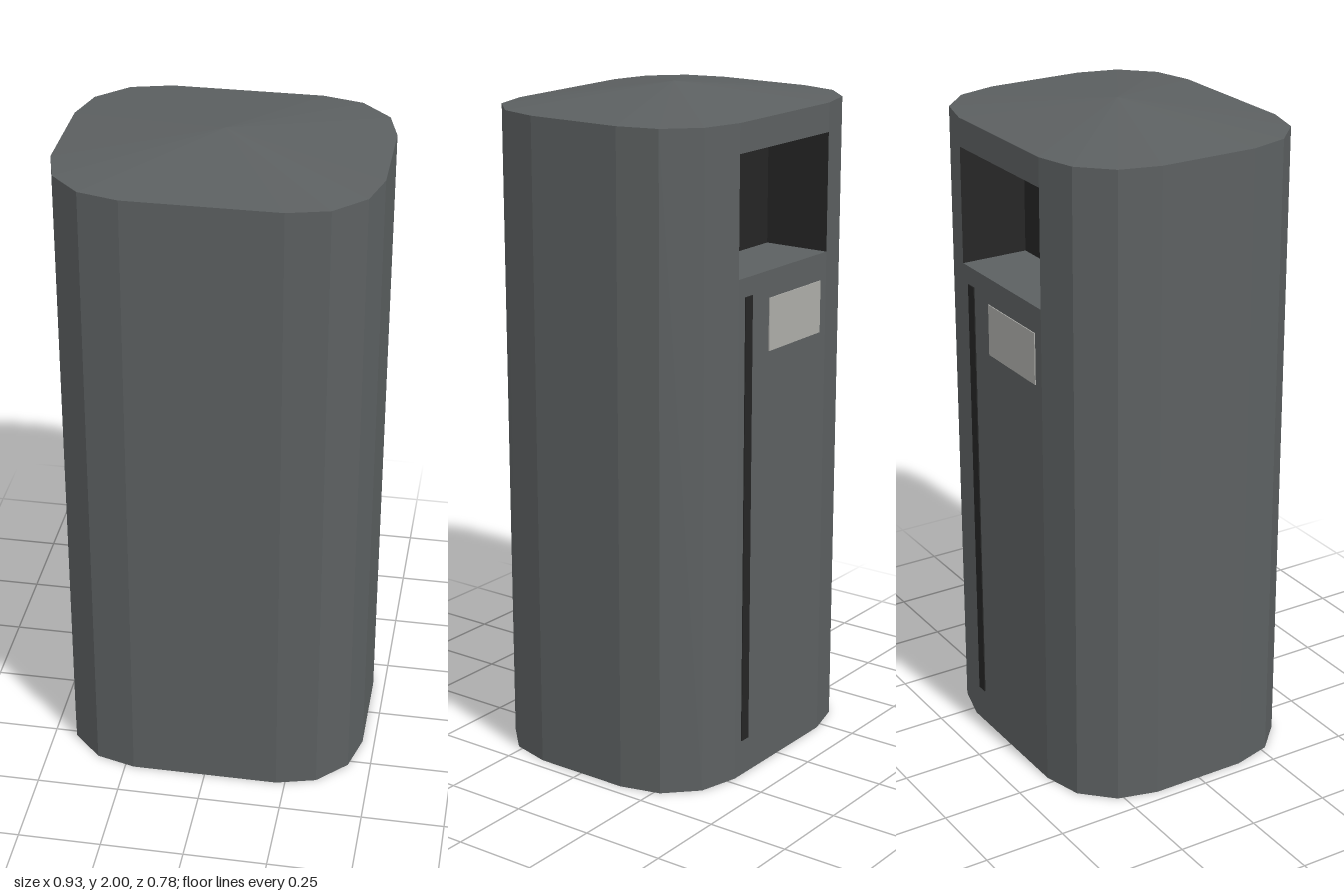
import * as THREE from 'three';

const HX = 0.223, HZ = 0.148, R = 0.24;      // flat half widths and corner radius
const RIM = 1.945, PEAK = 2;                 // wall top and lid apex
const OPEN_LOW = 1.51, OPEN_HIGH = 1.86, OPEN_BACK = -0.18;
const BACK = -(HZ + R);

// Flat-shaded mesh from a list of polygons, each counter-clockwise from its front
function polyMesh(name, polygons, material) {
  const pos = [];
  for (const p of polygons)
    for (let i = 1; i < p.length - 1; i++) pos.push(...p[0], ...p[i], ...p[i + 1]);
  const g = new THREE.BufferGeometry();
  g.setAttribute('position', new THREE.Float32BufferAttribute(pos, 3));
  g.computeVertexNormals();
  const mesh = new THREE.Mesh(g, material);
  mesh.name = name;
  return mesh;
}

// Thin plate on the back face
function backPlate(name, x0, x1, y0, y1, material) {
  const mesh = new THREE.Mesh(new THREE.BoxGeometry(x1 - x0, y1 - y0, 0.006), material);
  mesh.position.set((x0 + x1) / 2, (y0 + y1) / 2, BACK);
  mesh.name = name;
  return mesh;
}

export function createModel() {
  const group = new THREE.Group();
  group.name = 'litterBin';
  const mat = (name, color) =>
    new THREE.MeshStandardMaterial({ name, color, side: THREE.DoubleSide });
  const grey = mat('bodyGrey', 0x5c6061);
  const dark = mat('openingBlack', 0x252525);
  const pale = mat('plateGrey', 0xacaca8);

  // Rounded-rectangle outline, three segments per corner
  const ring = [];
  [[1, 1], [-1, 1], [-1, -1], [1, -1]].forEach(([sx, sz], k) => {
    for (let j = 0; j < 4; j++) {
      const t = (k * 90 + j * 30) * Math.PI / 180;
      ring.push([sx * HX + R * Math.cos(t), sz * HZ + R * Math.sin(t)]);
    }
  });

  // Walls, open underneath, with the back flat split around the opening; lid fan
  const walls = [], lid = [];
  ring.forEach(([ax, az], i) => {
    const [bx, bz] = ring[(i + 1) % ring.length];
    const bands = i === 11 ? [[0, OPEN_LOW], [OPEN_HIGH, RIM]] : [[0, RIM]];
    for (const [y0, y1] of bands)
      walls.push([[ax, y0, az], [ax, y1, az], [bx, y1, bz], [bx, y0, bz]]);
    lid.push([[ax, RIM, az], [0, PEAK, 0], [bx, RIM, bz]]);
  });
  group.add(polyMesh('body', walls, grey), polyMesh('lid', lid, grey));

  // Recess behind the opening
  const c = (sx, y, z) => [sx * HX, y, z];
  const L = OPEN_LOW, H = OPEN_HIGH, F = BACK, B = OPEN_BACK;
  group.add(polyMesh('openingFloor',
    [[c(-1, L, F), c(-1, L, B), c(1, L, B), c(1, L, F)]], grey));
  group.add(polyMesh('openingLining', [
    [c(-1, H, F), c(1, H, F), c(1, H, B), c(-1, H, B)],
    [c(-1, L, B), c(-1, H, B), c(1, H, B), c(1, L, B)],
    [c(1, L, F), c(1, L, B), c(1, H, B), c(1, H, F)],
    [c(-1, L, F), c(-1, H, F), c(-1, H, B), c(-1, L, B)],
  ], dark));

  // Door slot and blank plate below the opening
  group.add(backPlate('doorSlot', 0.158, 0.192, 0.11, 1.455, dark));
  group.add(backPlate('blankPlate', -0.19, 0.073, 1.275, 1.43, pale));
  return group;
}
